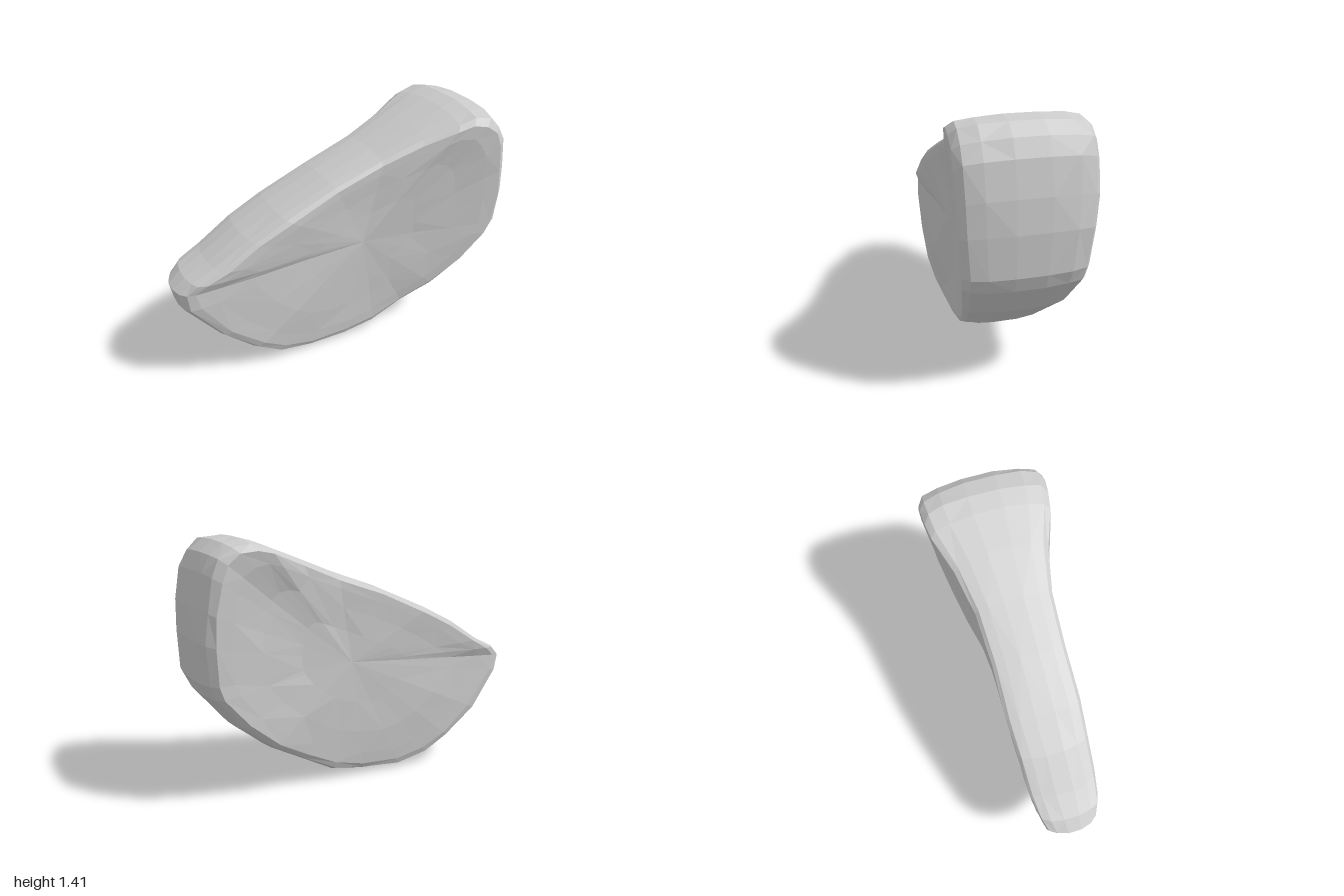
import * as THREE from 'three';

// Outline of the wedge, counter-clockwise from the front: x, y, half thickness at the rim
const RIM = [
  [-1, 0.63, 0.155], [-0.98, 0.53, 0.16], [-0.8, 0.3, 0.17], [-0.6, 0.135, 0.17],
  [-0.45, 0.045, 0.16], [-0.25, 0, 0.15], [0, 0.01, 0.15], [0.2, 0.05, 0.16],
  [0.4, 0.15, 0.185], [0.6, 0.26, 0.235], [0.8, 0.42, 0.285], [0.95, 0.6, 0.318],
  [0.985, 0.68, 0.327], [1, 0.9, 0.345], [0.99, 1.07, 0.352], [0.96, 1.25, 0.36],
  [0.92, 1.34, 0.358], [0.85, 1.4, 0.357], [0.75, 1.415, 0.347], [0.65, 1.39, 0.333],
  [0.45, 1.315, 0.27], [0.2, 1.215, 0.218], [-0.1, 1.11, 0.21], [-0.4, 0.98, 0.21],
  [-0.6, 0.88, 0.205], [-0.8, 0.755, 0.193], [-0.93, 0.69, 0.18],
];
const CENTRE = { x: 0.1, y: 0.7, z: 0.185 };

// Rings from the middle of a face out to the rim: outline scale, share of rim thickness
const RINGS = [[0.35, 1], [0.62, 1], [0.82, 1], [0.92, 0.99], [0.965, 0.9], [0.99, 0.65], [1, 0.25]];

function createStone() {
  const n = RIM.length;
  const pos = [CENTRE.x, CENTRE.y, CENTRE.z];
  const index = [];

  const addRing = ([s, share], side) => RIM.forEach(([x, y, w], i) => {
    // the back face is dished more than the front toward the thick end
    const blend = Math.pow(Math.min(1, s / 0.9), side > 0 ? 1.3 : 1.8);
    // shallow, uneven dents over the faces and the rim
    const px = CENTRE.x + (x - CENTRE.x) * s;
    const py = CENTRE.y + (y - CENTRE.y) * s;
    const dent = Math.sin(px * 9 + side) * Math.cos(py * 11 - side);
    const k = s * (1 - 0.005 * (1 + Math.sin(i * 2.3 + s * 40 + side)) * (s < 1 ? 1 : 0));
    const z = (CENTRE.z + (w - CENTRE.z) * blend) * share + dent * 0.005;
    pos.push(CENTRE.x + (x - CENTRE.x) * k, CENTRE.y + (y - CENTRE.y) * k, side * z);
  });
  RINGS.forEach((r) => addRing(r, 1));
  [...RINGS].reverse().forEach((r) => addRing(r, -1));
  pos.push(CENTRE.x, CENTRE.y, -CENTRE.z);

  const rings = RINGS.length * 2;
  const last = pos.length / 3 - 1;
  const at = (k, i) => 1 + k * n + (i % n);
  for (let i = 0; i < n; i++) {
    index.push(0, at(0, i), at(0, i + 1));
    for (let k = 0; k < rings - 1; k++) {
      const a = at(k, i), b = at(k, i + 1), c = at(k + 1, i), d = at(k + 1, i + 1);
      // alternate the diagonals for an irregular faceted surface
      if ((i + k) % 2) index.push(a, c, d, a, d, b);
      else index.push(a, c, b, b, c, d);
    }
    index.push(last, at(rings - 1, i + 1), at(rings - 1, i));
  }

  const geometry = new THREE.BufferGeometry();
  geometry.setAttribute('position', new THREE.Float32BufferAttribute(pos, 3));
  geometry.setIndex(index);
  geometry.computeVertexNormals();
  return geometry;
}

export function createModel() {
  const group = new THREE.Group();
  group.name = 'wedgeStone';
  const material = new THREE.MeshStandardMaterial({ color: 0xcccccc, flatShading: true });
  const stone = new THREE.Mesh(createStone(), material);
  stone.name = 'stoneBody';
  group.add(stone);
  return group;
}
